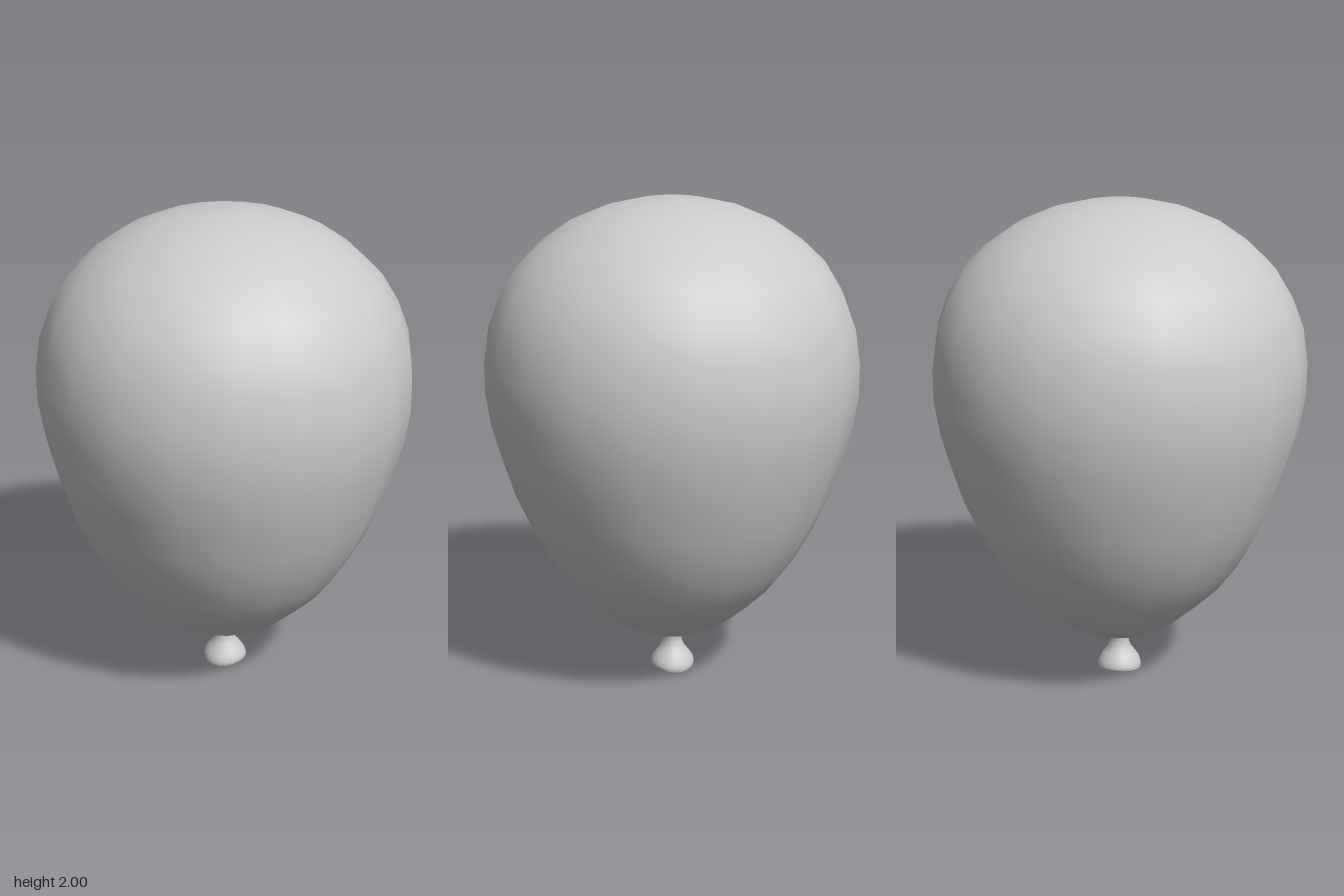
import * as THREE from 'three';

const SIDES = 20;

// Revolves [radius, height] pairs, listed so that the surface faces outward
function lathe(name, profile, material) {
  const points = profile.map(([r, y]) => new THREE.Vector2(r, y));
  const mesh = new THREE.Mesh(new THREE.LatheGeometry(points, SIDES), material);
  mesh.name = name;
  return mesh;
}

export function createModel() {
  const group = new THREE.Group();
  group.name = 'balloon';
  const rubber = new THREE.MeshStandardMaterial({ color: 0xcccccc });

  // Inflated body, from the neck up to the crown
  group.add(lathe('body', [
    [0, 0.165], [0.04, 0.165], [0.09, 0.173], [0.165, 0.205], [0.265, 0.265],
    [0.345, 0.335], [0.435, 0.425], [0.51, 0.525], [0.58, 0.65], [0.645, 0.795],
    [0.697, 0.96], [0.733, 1.09], [0.755, 1.23], [0.755, 1.36], [0.735, 1.5],
    [0.69, 1.62], [0.62, 1.735], [0.525, 1.825], [0.41, 1.905], [0.28, 1.96],
    [0.14, 1.993], [0, 2],
  ], rubber));

  // Hollow flared mouth: inside of the funnel, round the lip, then up the neck
  const mouth = lathe('mouth', [
    [0, 0.1], [0.022, 0.095], [0.045, 0.07], [0.066, 0.045], [0.076, 0.025],
    [0.08, 0.012], [0.086, 0.009], [0.092, 0.016], [0.092, 0.03], [0.085, 0.05],
    [0.068, 0.075], [0.05, 0.098], [0.041, 0.122], [0.039, 0.145], [0.045, 0.17],
  ], rubber);

  // Wave the lip: lower at front and back, higher at the sides
  const pos = mouth.geometry.attributes.position;
  for (let i = 0; i < pos.count; i++) {
    const x = pos.getX(i), y = pos.getY(i), z = pos.getZ(i);
    const fade = Math.max(0, 1 - y / 0.06);
    const wave = Math.cos(2 * Math.atan2(x, z));
    pos.setY(i, y - 0.01 * fade * wave);
  }
  mouth.geometry.computeBoundingBox();
  mouth.geometry.translate(0, -mouth.geometry.boundingBox.min.y, 0);
  group.add(mouth);

  return group;
}
